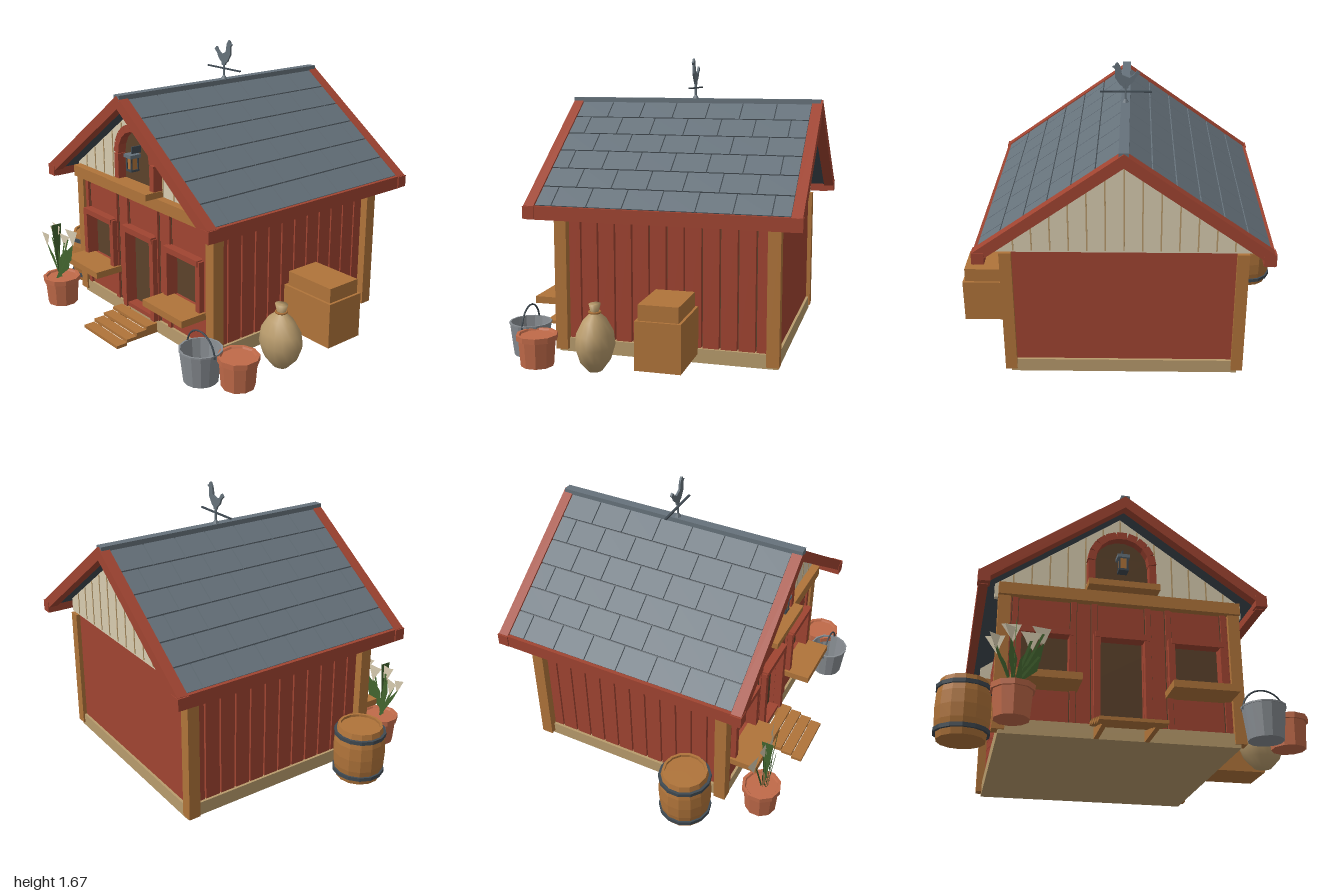
import * as THREE from 'three';

const mat = (name, color, side = THREE.FrontSide) => {
  const m = new THREE.MeshStandardMaterial({ color, side });
  m.name = name;
  return m;
};

export function createModel() {
  const D = THREE.DoubleSide;
  const red = mat('barn red', 0xa04431), cream = mat('cream', 0xd8ccb0, D), wood = mat('wood', 0xb0743a),
    tan = mat('pale tan', 0xb89b6c), brown = mat('dark brown', 0x5c422b), slate = mat('slate', 0x66727b),
    iron = mat('dark iron', 0x404a52), clay = mat('terracotta', 0xc06a49), zinc = mat('zinc', 0x888d92, D),
    green = mat('leaf green', 0x43652f, D);

  const model = new THREE.Group();
  const house = new THREE.Group();
  house.name = 'house';
  house.position.x = -0.02;
  model.add(house);

  const add = (parent, name, geo, m, x = 0, y = 0, z = 0) => {
    const mesh = new THREE.Mesh(geo, m);
    mesh.name = name;
    mesh.position.set(x, y, z);
    parent.add(mesh);
    return mesh;
  };
  // box given by its extents on each axis
  const box = (parent, name, m, x0, x1, y0, y1, z0, z1) =>
    add(parent, name, new THREE.BoxGeometry(x1 - x0, y1 - y0, z1 - z0), m, (x0 + x1) / 2, (y0 + y1) / 2, (z0 + z1) / 2);
  const facet = (geo) => {
    const g = geo.index ? geo.toNonIndexed() : geo;
    g.computeVertexNormals();
    return g;
  };
  const lathe = (pts, n) => facet(new THREE.LatheGeometry(pts.map(([r, y]) => new THREE.Vector2(r, y)), n));
  const poly = (pts) => new THREE.Shape(pts.map(([x, y]) => new THREE.Vector2(x, y)));
  const rect = (x0, x1, y0, y1) => poly([[x0, y0], [x1, y0], [x1, y1], [x0, y1]]);
  const extrude = (shape, depth) => new THREE.ExtrudeGeometry(shape, { depth, bevelEnabled: false, curveSegments: 12 });

  // base, core and walls
  box(house, 'base', tan, -0.645, 0.645, 0.02, 0.1, -0.725, 0.53);
  box(house, 'core', brown, -0.6, 0.6, 0.1, 0.84, -0.68, 0.47);
  box(house, 'backWall', red, -0.62, 0.62, 0.1, 0.82, -0.71, -0.68);
  const front = rect(-0.62, 0.62, 0.1, 0.82);
  front.holes.push(rect(-0.125, 0.12, 0.12, 0.59), rect(-0.55, -0.29, 0.31, 0.59), rect(0.29, 0.55, 0.31, 0.59));
  add(house, 'frontWall', extrude(front, 0.03), red, 0, 0, 0.485);
  box(house, 'openingBack', brown, -0.6, 0.6, 0.1, 0.8, 0.47, 0.486);
  for (const s of [-1, 1]) {
    for (let i = 0; i < 12; i++) {
      const z = -0.7 + i * 0.1;
      box(house, 'sideBoard', red, s * 0.615 - 0.015, s * 0.615 + 0.015, 0.1, 0.84, z + 0.005, z + 0.095);
    }
    // corner posts
    const x = s * 0.645;
    box(house, 'frontPost', wood, x - 0.033, x + 0.033, 0.04, 0.8, 0.47, 0.54);
    box(house, 'backPost', wood, x - 0.033, x + 0.033, 0.04, 0.8, -0.735, -0.665);
    // wall battens
    for (const bx of [0.15, 0.265, 0.585]) {
      box(house, 'battenGap', brown, s * bx - 0.02, s * bx + 0.02, 0.1, 0.8, 0.515, 0.517);
      box(house, 'batten', red, s * bx - 0.015, s * bx + 0.015, 0.1, 0.8, 0.515, 0.53);
    }
    // window trim and sill
    const w = s * 0.42;
    for (const e of [-1, 1])
      box(house, 'windowJamb', red, w + e * 0.147 - 0.018, w + e * 0.147 + 0.018, 0.29, 0.61, 0.51, 0.562);
    box(house, 'windowHead', red, w - 0.15, w + 0.15, 0.582, 0.615, 0.51, 0.567);
    box(house, 'windowSill', wood, w - 0.18, w + 0.18, 0.275, 0.315, 0.51, 0.695);
    // door jambs
    box(house, 'doorJamb', red, s * 0.14 - 0.018, s * 0.14 + 0.018, 0.1, 0.61, 0.51, 0.562);
  }
  box(house, 'doorHead', red, -0.15, 0.15, 0.585, 0.62, 0.51, 0.567);
  box(house, 'doorSill', red, -0.13, 0.13, 0.1, 0.125, 0.48, 0.55);
  box(house, 'beam', wood, -0.68, 0.68, 0.8, 0.87, 0.46, 0.56);

  // gables with board grooves
  const tanA = 0.709, ang = Math.atan(tanA);
  const tri = poly([[-0.7, 0.8], [0.7, 0.8], [0.7, 0.89], [0, 1.385], [-0.7, 0.89]]);
  add(house, 'frontGable', extrude(tri, 0.03), cream, 0, 0, 0.48);
  add(house, 'backGable', extrude(tri, 0.03), cream, 0, 0, -0.715);
  for (let i = -6; i <= 6; i++) {
    const x = i * 0.1, top = 1.37 - Math.abs(x) * tanA;
    box(house, 'gableGroove', tan, x - 0.004, x + 0.004, 0.86, top, 0.509, 0.513);
    box(house, 'gableGroove', tan, x - 0.004, x + 0.004, 0.81, top, -0.718, -0.714);
  }

  // loft arch
  const arch = new THREE.Shape();
  arch.moveTo(-0.17, 0.87);
  arch.lineTo(0.17, 0.87);
  arch.lineTo(0.17, 1.06);
  arch.absarc(0, 1.06, 0.17, 0, Math.PI, false);
  add(house, 'loftOpening', extrude(arch, 0.006), brown, 0, 0, 0.513);
  for (let i = 0; i < 9; i++) {
    const a = ((i + 0.5) / 9) * Math.PI;
    const b = add(house, 'archBrick', new THREE.BoxGeometry(0.044, 0.057, 0.06), red,
      Math.cos(a) * 0.172, 1.06 + Math.sin(a) * 0.172, 0.54);
    b.rotation.z = a;
  }
  for (const s of [-1, 1])
    box(house, 'archJamb', red, s * 0.174 - 0.02, s * 0.174 + 0.02, 0.9, 1.055, 0.51, 0.57);
  box(house, 'loftSill', wood, -0.2, 0.2, 0.87, 0.907, 0.5, 0.63);

  // lantern
  const lantern = new THREE.Group();
  lantern.name = 'lantern';
  lantern.position.set(0, 0.99, 0.575);
  house.add(lantern);
  box(lantern, 'lanternBase', iron, -0.028, 0.028, 0, 0.012, -0.028, 0.028);
  box(lantern, 'lanternGlass', wood, -0.02, 0.02, 0.012, 0.08, -0.02, 0.02);
  for (const x of [-0.022, 0.022]) for (const z of [-0.022, 0.022])
    box(lantern, 'lanternBar', iron, x - 0.004, x + 0.004, 0.01, 0.085, z - 0.004, z + 0.004);
  box(lantern, 'lanternCap', slate, -0.035, 0.035, 0.08, 0.1, -0.035, 0.035);
  box(lantern, 'lanternHook', iron, -0.005, 0.005, 0.1, 0.14, -0.06, 0.005);

  // roof deck, barge boards and fascias
  const chevron = (top, half, t) => poly([[0, top], [-half, top - half * tanA], [-half, top - half * tanA - t],
    [0, top - t], [half, top - half * tanA - t], [half, top - half * tanA]]);
  add(house, 'roofDeck', extrude(chevron(1.415, 0.775, 0.04), 1.43), iron, 0, 0, -0.81);
  for (const z of [-0.86, 0.61]) {
    add(house, 'bargeBoard', extrude(chevron(1.435, 0.79, 0.075), 0.06), red, 0, 0, z);
    for (const s of [-1, 1])
      box(house, 'bargeEnd', red, s * 0.767 - 0.033, s * 0.767 + 0.033, 0.805, 0.873, z - 0.003, z + 0.063);
  }
  for (const s of [-1, 1]) {
    box(house, 'eaveFascia', red, s * 0.768 - 0.025, s * 0.768 + 0.025, 0.8, 0.875, -0.82, 0.64);
    // slate tiles in staggered rows
    const slope = new THREE.Group();
    slope.name = 'roofSlope';
    slope.position.y = 1.414;
    slope.rotation.z = -s * ang;
    house.add(slope);
    const row = 0.155;
    for (let r = 0; r < 6; r++) {
      for (let k = 0; k < 8; k++) {
        const z0 = Math.max(-0.8, -0.8 + (k - (r % 2) / 2) * 0.202), z1 = Math.min(0.61, -0.8 + (k + 1 - (r % 2) / 2) * 0.202);
        if (z1 - z0 < 0.03) continue;
        const a = 0.015 + r * row;
        const m = s * (a + row / 2);
        box(slope, 'tile', slate, m - row / 2 + 0.004, m + row / 2 - 0.004, 0, 0.012, z0 + 0.003, z1 - 0.003);
      }
    }
  }
  box(house, 'ridgeCap', slate, -0.026, 0.026, 1.405, 1.438, -0.85, 0.67);

  // weathervane
  const vane = new THREE.Group();
  vane.name = 'weathervane';
  vane.position.z = -0.1;
  house.add(vane);
  add(vane, 'vaneFoot', facet(new THREE.ConeGeometry(0.025, 0.04, 6)), slate, 0, 1.45);
  add(vane, 'vanePole', new THREE.CylinderGeometry(0.007, 0.007, 0.13, 6), slate, 0, 1.485);
  box(vane, 'vaneBar', iron, -0.15, 0.145, 1.496, 1.504, -0.006, 0.006);
  const bird = poly([[-0.083, 1.61], [-0.065, 1.625], [-0.045, 1.6], [-0.02, 1.583], [0.02, 1.6], [0.03, 1.65], [0.045, 1.672],
    [0.056, 1.667], [0.06, 1.655], [0.075, 1.648], [0.06, 1.635], [0.06, 1.585], [0.03, 1.54], [0.018, 1.535],
    [0.012, 1.52], [-0.014, 1.52], [-0.018, 1.537], [-0.045, 1.56], [-0.06, 1.59]]);
  add(vane, 'vaneBird', extrude(bird, 0.012), slate, 0, 0, -0.006);

  // front steps
  for (let i = 0; i < 4; i++) {
    const z = 0.56 + i * 0.068, y = 0.095 - i * 0.019;
    box(house, 'stepBoard', wood, -0.18, 0.17, y - 0.018, y, z, z + 0.066);
  }
  for (const x of [-0.14, 0.13])
    add(house, 'stepRail', extrude(poly([[-0.53, 0.02], [-0.53, 0.08], [-0.8, 0.02]]), 0.025), wood, x - 0.012).rotation.y = Math.PI / 2;

  // barrel
  const barrel = new THREE.Group();
  barrel.name = 'barrel';
  barrel.position.set(-0.84, 0.02, 0.355);
  model.add(barrel);
  add(barrel, 'barrelBody', lathe([[0, 0], [0.13, 0], [0.148, 0.09], [0.152, 0.165], [0.148, 0.24], [0.13, 0.33],
    [0.115, 0.33], [0.115, 0.315], [0, 0.315]], 14), wood);
  for (const y of [0.045, 0.285])
    add(barrel, 'barrelHoop', facet(new THREE.CylinderGeometry(0.152, 0.152, 0.022, 14)), iron, 0, y);

  // clay pots
  for (const [x, z] of [[-0.615, 0.735], [0.88, 0.555]])
    add(model, 'clayPot', lathe([[0, 0], [0.092, 0], [0.103, 0.145], [0.115, 0.145], [0.115, 0.175], [0.098, 0.175],
      [0.092, 0.165], [0, 0.165]], 10), clay, x, 0.02, z);

  // potted flowers
  const plant = new THREE.Group();
  plant.name = 'flowers';
  plant.position.set(-0.615, 0.18, 0.755);
  model.add(plant);
  const blade = (name, m, pts, z, turn) => {
    const b = add(plant, name, new THREE.ShapeGeometry(poly(pts)), m, 0, 0, z);
    b.rotation.y = turn;
  };
  [[-0.1, 0.29], [-0.02, 0.35], [0.08, 0.31], [0.14, 0.35], [0.12, 0.22]].forEach(([x, y], i) => {
    blade('stem', green, [[-0.008, 0], [0.008, 0], [x + 0.008, y - 0.05], [x - 0.006, y - 0.05]], i * 0.008 - 0.02, 0);
    if (i < 4) {
      blade('petal', cream, [[x - 0.055, y], [x + 0.05, y], [x + 0.01, y - 0.1]], i * 0.008 - 0.018, 0.15 * (i - 1.5));
      blade('petal', cream, [[x - 0.04, y - 0.01], [x + 0.02, y - 0.02], [x, y - 0.1]], i * 0.008 - 0.012, 0.3);
    }
    blade('leaf', green, [[0, 0], [x * 0.75 + 0.03, y * 0.45], [x * 1.1, y * 0.75], [x * 0.6 - 0.02, y * 0.5]], i * 0.008 - 0.01, 0.25);
  });
  blade('leaf', green, [[0, 0.03], [0.035, 0.36], [-0.035, 0.36]], 0, Math.PI / 2);

  // zinc bucket with handle
  const bucket = new THREE.Group();
  bucket.name = 'bucket';
  bucket.position.set(0.71, 0.02, 0.67);
  model.add(bucket);
  add(bucket, 'bucketBody', lathe([[0, 0], [0.095, 0], [0.116, 0.178], [0.12, 0.178], [0.12, 0.187], [0.11, 0.187], [0.09, 0.012], [0, 0.012]], 14), zinc);
  const handle = add(bucket, 'bucketHandle', new THREE.TorusGeometry(0.115, 0.005, 6, 16, Math.PI), iron, 0, 0.165);
  handle.scale.y = 1.0;

  // tied sack
  const sack = add(model, 'sack', new THREE.LatheGeometry([[0, 0], [0.05, 0.012], [0.105, 0.07], [0.135, 0.15], [0.125, 0.22],
    [0.08, 0.29], [0.035, 0.325], [0.028, 0.335], [0.04, 0.378], [0, 0.372]].map(([r, y]) => new THREE.Vector2(r, y)), 16), tan, 0.855, 0, 0.228);
  sack.scale.z = 0.78;
  const tie = add(model, 'sackTie', new THREE.TorusGeometry(0.03, 0.007, 5, 12), wood, 0.855, 0.333, 0.228);
  tie.rotation.x = Math.PI / 2;

  // wall box with lid
  box(model, 'wallBox', wood, 0.61, 0.97, 0.07, 0.335, -0.28, -0.03);
  box(model, 'wallBoxLid', wood, 0.63, 0.955, 0.335, 0.42, -0.265, -0.045);
  return model;
}
